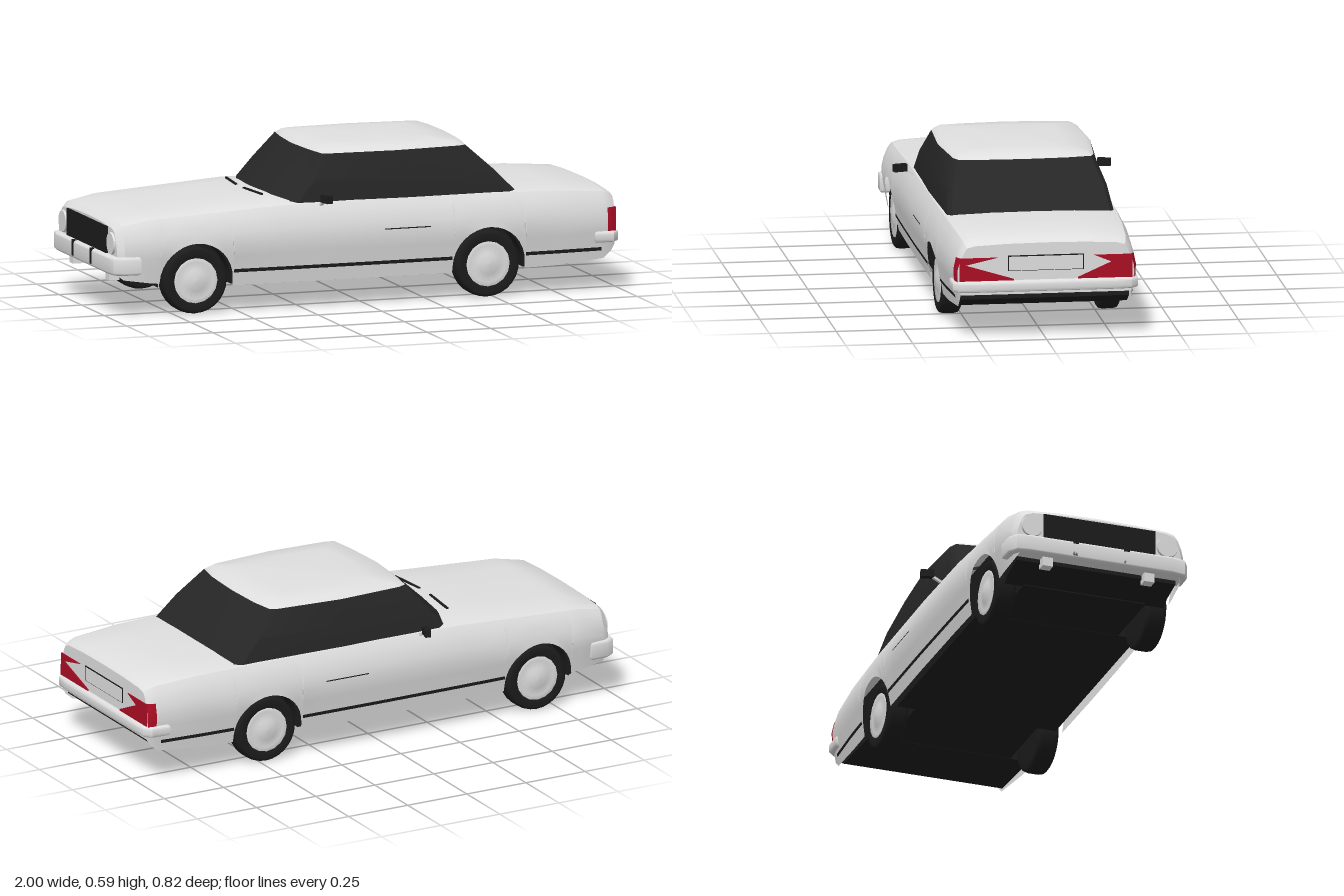
import * as THREE from 'three';
import { toCreasedNormals } from 'three/addons/utils/BufferGeometryUtils.js';

const paint = (name, color, side = THREE.FrontSide) => {
  const m = new THREE.MeshStandardMaterial({ color, side });
  m.name = name;
  return m;
};

// Body keys: x, half width, shoulder height, centre height, lower edge
const KEYS = [
  [-0.975, 0.325, 0.318, 0.338, 0.16], [-0.95, 0.342, 0.338, 0.357, 0.14],
  [-0.85, 0.353, 0.358, 0.376, 0.125], [-0.6, 0.36, 0.372, 0.395, 0.1],
  [-0.35, 0.364, 0.387, 0.413, 0.1], [0, 0.366, 0.39, 0.4, 0.1],
  [0.5, 0.362, 0.387, 0.4, 0.1], [0.75, 0.354, 0.382, 0.398, 0.105],
  [0.93, 0.342, 0.368, 0.388, 0.12], [0.96, 0.337, 0.358, 0.375, 0.145],
  [0.975, 0.33, 0.347, 0.362, 0.17],
];
// Side bulge: height fraction, width fraction
const BULGE = [[0, 0.93], [0.35, 0.972], [0.55, 1], [0.72, 0.985], [0.9, 0.94], [1, 0.89]];
const WHEELS = [-0.67, 0.475];
const ARCH = 0.142;

function sample(table, t) {
  let i = 0;
  while (i < table.length - 2 && t > table[i + 1][0]) i++;
  const a = table[i], b = table[i + 1];
  const k = THREE.MathUtils.clamp((t - a[0]) / (b[0] - a[0]), 0, 1);
  return a.map((v, j) => v + (b[j] - v) * k);
}

function sideZ(x, y) {
  const [, w, shoulder] = sample(KEYS, x);
  return w * sample(BULGE, (y - 0.1) / (shoulder - 0.1))[1];
}

function lowerEdge(x) {
  for (const c of WHEELS) {
    const d = Math.abs(x - c);
    if (d <= ARCH) return 0.125 + Math.sqrt(ARCH * ARCH - d * d);
  }
  return sample(KEYS, x)[4];
}

// Skin between equal-length rings of [x, y, z]
function loft(rings, crease = 0.5) {
  const n = rings[0].length, idx = [];
  for (let i = 0; i < rings.length - 1; i++)
    for (let j = 0; j < n - 1; j++) {
      const a = i * n + j, b = a + n;
      idx.push(a, b, a + 1, b, b + 1, a + 1);
    }
  const g = new THREE.BufferGeometry();
  g.setAttribute('position', new THREE.Float32BufferAttribute(rings.flat(2), 3));
  g.setIndex(idx);
  return toCreasedNormals(g, crease);
}

function bodySection(x) {
  const [, w, shoulder, centre] = sample(KEYS, x);
  const low = lowerEdge(x), half = [];
  for (const k of [0, 0.2, 0.4, 0.55, 0.72, 0.9, 1]) {
    const y = low + (shoulder - low) * k;
    half.push([x, y, sideZ(x, y)]);
  }
  for (const [f, k] of [[0.9, 0.5], [0.5, 0.88]])
    half.push([x, shoulder + (centre - shoulder) * k, w * 0.89 * f]);
  const other = half.map(([a, b, c]) => [a, b, -c]).reverse();
  return [...half, [x, centre, 0], ...other];
}

// Thin strip that hugs the body side
function sideStrip(x0, x1, y0, y1, s) {
  const rings = [];
  for (let i = 0; i <= 12; i++) {
    const x = x0 + (x1 - x0) * i / 12;
    rings.push([0, 0.5, 1].map(k => {
      const y = y0 + (y1 - y0) * k;
      return [x, y, s * (sideZ(x, y) + 0.003)];
    }));
  }
  return loft(rings);
}

// Closed plan outline of the cabin
function cabinRing(y, xf, xfc, zf, zm, zr, xrc, xr) {
  const half = [[xf, 0], [xf + (xfc - xf) * 0.3, zf * 0.6], [xfc - 0.012, zf * 0.95], [xfc + 0.02, zf],
    [(xfc + xrc) / 2, zm], [xrc - 0.02, zr], [xrc + 0.01, zr * 0.95], [xr - (xr - xrc) * 0.2, zr * 0.6], [xr, 0]];
  const back = half.slice(0, -1).reverse().map(([x, z]) => [x, -z]);
  return [...half, ...back].map(([x, z]) => [x, y, z]);
}

function plate(points, depth, bevel = 0) {
  const shape = new THREE.Shape(points.map(p => new THREE.Vector2(...p)));
  return new THREE.ExtrudeGeometry(shape, {
    depth, bevelEnabled: bevel > 0, bevelSize: bevel, bevelThickness: bevel, bevelSegments: 3,
  });
}

export function createModel() {
  const car = new THREE.Group();
  car.name = 'car';
  const white = paint('body paint', 0xdfdfdf, THREE.DoubleSide);
  const glass = paint('dark glass', 0x262626, THREE.DoubleSide);
  const black = paint('black trim', 0x1c1c1c, THREE.DoubleSide);
  const red = paint('tail light red', 0xab0d24, THREE.DoubleSide);

  const add = (name, geo, mat, x = 0, y = 0, z = 0) => {
    const m = new THREE.Mesh(geo, mat);
    m.name = name;
    m.position.set(x, y, z);
    car.add(m);
    return m;
  };
  const box = (name, mat, w, h, d, x, y, z) => add(name, new THREE.BoxGeometry(w, h, d), mat, x, y, z);

  // Body shell with wheel arches
  const xs = KEYS.map(k => k[0]).concat([-0.2, 0.25]).filter(x => WHEELS.every(c => Math.abs(x - c) > ARCH));
  for (const c of WHEELS) {
    xs.push(c - ARCH - 0.001, c + ARCH + 0.001);
    for (let i = 0; i <= 16; i++) xs.push(c + (ARCH - 1e-6) * Math.cos(Math.PI * i / 16));
  }
  xs.sort((a, b) => a - b);
  add('bodyShell', loft(xs.map(bodySection)), white);
  for (const [name, x] of [['nosePanel', -0.975], ['tailPanel', 0.975]]) {
    const half = bodySection(x).slice(0, 10);
    add(name, loft(half.map(([a, y, z]) => [[a, y, z], [a, y, -z]])), white);
  }

  // Underbody with arches cut out, and a floor between the wheels
  const under = new THREE.Shape();
  under.moveTo(-0.94, 0.29);
  under.lineTo(-0.94, 0.145);
  under.lineTo(-0.85, 0.125);
  for (const c of WHEELS) {
    under.lineTo(c - ARCH, 0.104);
    under.absarc(c, 0.125, ARCH, Math.PI, 0, true);
    under.lineTo(c + ARCH, 0.104);
  }
  under.lineTo(0.9, 0.118);
  under.lineTo(0.955, 0.15);
  under.lineTo(0.955, 0.29);
  add('underbody', new THREE.ExtrudeGeometry(under, { depth: 0.626, bevelEnabled: false, curveSegments: 16 }),
    black, 0, 0, -0.313);
  for (const c of WHEELS) box('wheelBayFloor', black, 0.3, 0.17, 0.48, c, 0.19, 0);

  // Cabin glass and roof
  const top = cabinRing(0.562, -0.178, -0.14, 0.272, 0.284, 0.262, 0.405, 0.437);
  add('cabinGlass', loft([cabinRing(0.383, -0.375, -0.29, 0.318, 0.322, 0.312, 0.59, 0.615), 
    cabinRing(0.47, -0.285, -0.217, 0.305, 0.312, 0.296, 0.505, 0.53), top]), glass);
  add('roof', loft([[1, 0.562], [0.93, 0.577], [0.62, 0.587], [0, 0.591]].map(([s, y]) =>
    top.map(([x, , z]) => [0.13 + (x - 0.13) * s, y, z * s])), 0.8), white);

  // Wheels
  const tyre = new THREE.LatheGeometry([[0.075, -0.04], [0.112, -0.04], [0.122, -0.033], [0.125, -0.02],
    [0.125, 0.02], [0.122, 0.033], [0.112, 0.04], [0.084, 0.036], [0.075, 0.028]]
    .map(p => new THREE.Vector2(...p)), 28).rotateX(Math.PI / 2);
  const hub = new THREE.LatheGeometry([[0.086, 0.03], [0.084, 0.039], [0.07, 0.034], [0.04, 0.038], [0.03, 0.044], [0, 0.046]]
    .map(p => new THREE.Vector2(...p)), 16).rotateX(Math.PI / 2);
  const back = new THREE.CylinderGeometry(0.08, 0.08, 0.05, 20).rotateX(Math.PI / 2);
  for (const c of WHEELS)
    for (const s of [1, -1]) {
      const wheel = new THREE.Group();
      wheel.name = 'wheel';
      for (const [name, geo, mat] of [['tyre', tyre, black], ['hubCap', hub, white], ['wheelBack', back, black]]) {
        const m = new THREE.Mesh(geo, mat);
        m.name = name;
        if (name === 'wheelBack') m.position.z = -0.012;
        wheel.add(m);
      }
      wheel.position.set(c, 0.125, s * 0.296);
      if (s < 0) wheel.rotation.y = Math.PI;
      car.add(wheel);
    }

  // Wrap-around bumpers
  const bumper = (name, pts, height, yTop) => {
    const outline = [...pts, ...pts.map(([x, z]) => [x, -z]).reverse()];
    const geo = plate(outline, height - 0.02, 0.01).rotateX(Math.PI / 2);
    add(name, toCreasedNormals(geo, 0.7), white, 0, yTop - 0.01, 0);
  };
  bumper('frontBumper', [[-0.9, 0.343], [-0.955, 0.342], [-0.983, 0.325], [-0.99, 0.28]], 0.068, 0.228);
  bumper('rearBumper', [[0.9, 0.338], [0.96, 0.336], [0.98, 0.315], [0.985, 0.26]], 0.042, 0.223);

  // Grille, and the rear number panel
  box('grille', black, 0.012, 0.105, 0.44, -0.976, 0.276, 0);
  box('numberPanelEdge', black, 0.004, 0.058, 0.282, 0.976, 0.287, 0);
  box('numberPanel', white, 0.006, 0.052, 0.276, 0.976, 0.286, 0);

  for (const s of [1, -1]) {
    // Sill stripes and side trim
    add('sillStripe', sideStrip(-0.525, 0.33, 0.15, 0.163, s), black);
    add('rearSillStripe', sideStrip(0.62, 0.92, 0.15, 0.163, s), black);
    add('doorHandle', sideStrip(0.06, 0.24, 0.281, 0.285, s), black);

    // Head lights and bumper guards
    const lamp = new THREE.CylinderGeometry(0.04, 0.043, 0.012, 20).rotateZ(Math.PI / 2);
    add('headLight', lamp, white, -0.977, 0.272, s * 0.266);
    box('bumperGuard', black, 0.012, 0.06, 0.022, -0.994, 0.2, s * 0.1);
    box('bumperBracket', white, 0.04, 0.04, 0.04, -0.95, 0.145, s * 0.2);

    // Notched tail lights wrapping onto the sides
    const apex = s > 0 ? 0.3 : 0.245;
    const pts = [[0.322, 0.31], [0.18, 0.31], [apex, 0.283], [0.12, 0.228], [0.12, 0.22], [0.322, 0.22]];
    const light = plate(pts.map(([z, y]) => [-s * z, y]), 0.006).rotateY(Math.PI / 2);
    add('tailLight', light, red, 0.973, 0, 0);
    add('tailLightSide', sideStrip(0.943, 0.976, 0.22, 0.31, s), red);

    // Door mirrors and wipers
    const mirror = box('mirror', black, 0.022, 0.028, 0.05, -0.175, 0.41, s * 0.381);
    mirror.rotation.y = s * 0.25;
    const stem = box('mirrorStem', white, 0.012, 0.009, 0.05, -0.178, 0.389, s * 0.34);
    stem.rotation.x = -s * 0.5;
    const wiper = box('wiper', black, 0.008, 0.006, 0.16, -0.372, 0.412, s * 0.12);
    wiper.rotation.y = s * 0.1;
  }
  return car;
}
